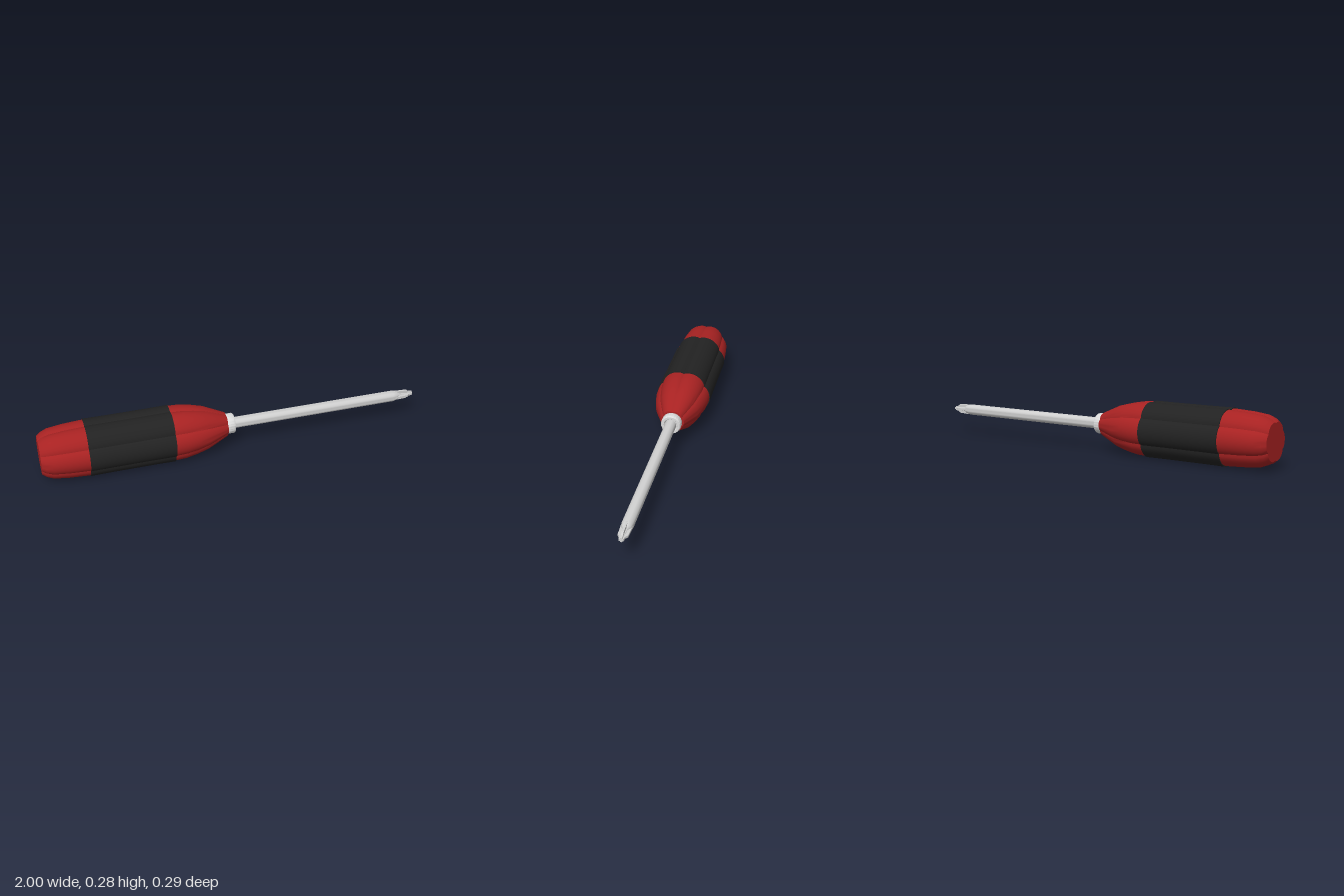
import * as THREE from 'three';
import { toCreasedNormals, mergeVertices } from 'three/addons/utils/BufferGeometryUtils.js';

const AXIS_Y = 0.14; // height of the tool's long axis

const material = (name, color) => {
  const m = new THREE.MeshStandardMaterial({ color });
  m.name = name;
  return m;
};

// Revolve [x, radius] pairs about the x axis, optionally scaling the radius by angle
function revolve(profile, sides, radiusAt, crease = 0.6) {
  let g = new THREE.LatheGeometry(profile.map(([x, r]) => new THREE.Vector2(r, x)), sides);
  g.rotateZ(-Math.PI / 2);
  if (radiusAt) {
    const p = g.attributes.position;
    for (let i = 0; i < p.count; i++) {
      const y = p.getY(i), z = p.getZ(i);
      const k = radiusAt(Math.atan2(y, z));
      p.setY(i, y * k);
      p.setZ(i, z * k);
    }
  }
  g.deleteAttribute('uv');
  g.deleteAttribute('normal');
  g = mergeVertices(g, 1e-5);
  return toCreasedNormals(g, crease);
}

// Six rounded lobes with narrow grooves between them
const lobes = (a) => 0.905 + 0.095 * Math.pow(Math.abs(Math.cos(3 * a)), 0.65);
const knurl = (a) => 1 + 0.015 * Math.cos(24 * a);

export function createModel() {
  const group = new THREE.Group();
  const red = material('red plastic', 0xa82222);
  const black = material('black rubber', 0x222222);
  const steel = material('steel', 0xcfcfcf);
  const collarMetal = material('pale collar metal', 0xdcdcdc);

  const add = (name, geometry, mat) => {
    const mesh = new THREE.Mesh(geometry, mat);
    mesh.name = name;
    mesh.position.y = AXIS_Y;
    group.add(mesh);
    return mesh;
  };

  // Handle core, from the blunt butt to the neck
  add('handle', revolve([
    [-1, 0], [-1, 0.06], [-1, 0.097], [-0.98, 0.113], [-0.945, 0.127], [-0.87, 0.136],
    [-0.78, 0.141], [-0.55, 0.14], [-0.32, 0.141], [-0.27, 0.139], [-0.21, 0.128],
    [-0.15, 0.112], [-0.09, 0.085], [-0.04, 0.062], [-0.035, 0],
  ], 72, lobes), red);

  // Rubber sleeve, slightly proud of the core
  add('grip', revolve([
    [-0.765, 0.136], [-0.765, 0.1455], [-0.65, 0.1445], [-0.45, 0.1445],
    [-0.33, 0.1455], [-0.33, 0.136],
  ], 72, lobes), black);

  // Collar between handle and shaft
  add('collar', revolve([
    [-0.042, 0], [-0.042, 0.05], [-0.038, 0.052], [-0.004, 0.052], [0.002, 0.048],
    [0.002, 0.036], [-0.004, 0.032], [-0.004, 0],
  ], 96, knurl), collarMetal);

  // Shaft with its short shoulder and the slim core of the tip
  add('shaft', revolve([
    [-0.01, 0], [-0.01, 0.029], [0.885, 0.029], [0.91, 0.024], [0.925, 0.013],
    [0.985, 0.008], [1, 0.005], [1, 0],
  ], 24), steel);

  // Two crossed blades make the four fins of the tip
  const fin = new THREE.Shape([
    [0.88, -0.027], [0.9, -0.0275], [0.965, -0.024], [0.978, -0.014], [0.998, -0.011],
    [0.998, 0.011], [0.978, 0.014], [0.965, 0.024], [0.9, 0.0275], [0.88, 0.027],
  ].map(([x, y]) => new THREE.Vector2(x, y)));
  for (let i = 0; i < 2; i++) {
    const g = new THREE.ExtrudeGeometry(fin, { depth: 0.01, bevelEnabled: false });
    g.translate(0, 0, -0.005);
    add('tipBlade', g, steel).rotation.x = (i * Math.PI) / 2;
  }

  return group;
}
